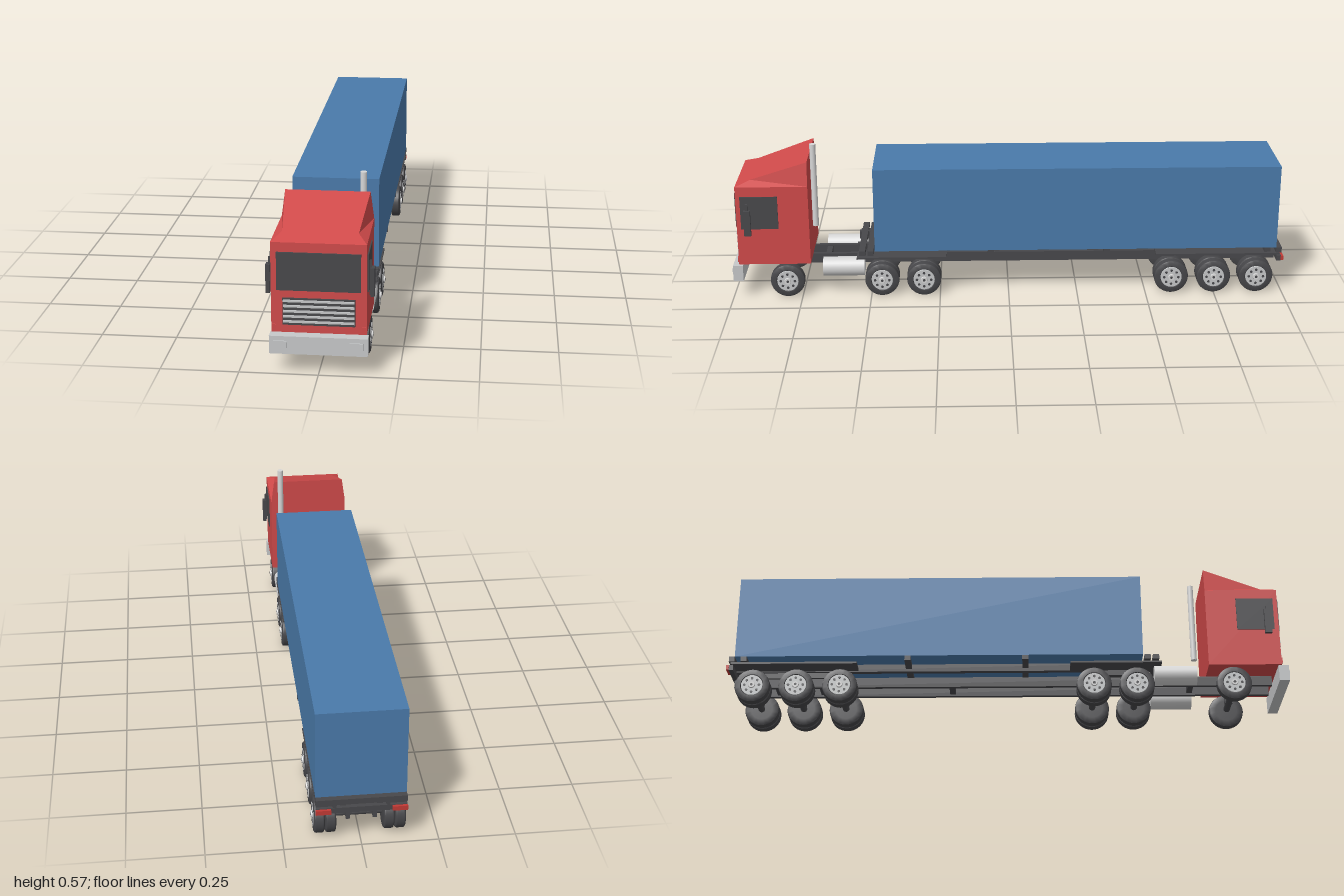
import * as THREE from 'three';
import { toCreasedNormals } from 'three/addons/utils/BufferGeometryUtils.js';

const mat = (name, color) => {
  const m = new THREE.MeshStandardMaterial({ color });
  m.name = name;
  return m;
};

export function createModel() {
  const red = mat('cab red', 0xd04a4a);
  const blue = mat('container blue', 0x4a7aaa);
  const dark = mat('chassis dark grey', 0x48484b);
  const tyreMat = mat('tyre grey', 0x47474a);
  const light = mat('light grey', 0xc6c8c9);
  const silver = mat('silver', 0xd6d6d6);
  const lamp = mat('tail lamp red', 0xc23a35);

  const truck = new THREE.Group();
  truck.name = 'containerTruck';
  const group = (name, parent = truck) => {
    const g = new THREE.Group();
    g.name = name;
    parent.add(g);
    return g;
  };
  const add = (parent, name, geo, m, x = 0, y = 0, z = 0) => {
    const mesh = new THREE.Mesh(geo, m);
    mesh.name = name;
    mesh.position.set(x, y, z);
    parent.add(mesh);
    return mesh;
  };
  // Box given by its limits on each axis
  const box = (parent, name, m, [x0, x1], [y0, y1], [z0, z1]) =>
    add(parent, name, new THREE.BoxGeometry(x1 - x0, y1 - y0, z1 - z0), m,
      (x0 + x1) / 2, (y0 + y1) / 2, (z0 + z1) / 2);
  // The same box on both sides of the truck
  const pair = (parent, name, m, [x0, x1], ys, zs) => {
    box(parent, name + 'Left', m, [x0, x1], ys, zs);
    box(parent, name + 'Right', m, [-x1, -x0], ys, zs);
  };

  // Cab body
  const cab = group('cab');
  box(cab, 'cabBody', red, [-0.149, 0.149], [0.13, 0.425], [0.715, 0.973]);

  // Roof deflector: a wedge with steep, slightly pinched sides
  const corner = {
    A: [0.149, 0.425, 0.973], B: [0.119, 0.443, 0.92],
    C: [0.137, 0.513, 0.715], D: [0.149, 0.425, 0.715],
  };
  const at = (k) => {
    const [x, y, z] = corner[k.toUpperCase()];
    return [k === k.toUpperCase() ? x : -x, y, z]; // lower case = right side
  };
  const faces = ['aAB', 'aBb', 'bBC', 'bCc', 'ADB', 'BDC', 'abd', 'bcd', 'Ddc', 'DcC'];
  const roofGeo = new THREE.BufferGeometry();
  roofGeo.setAttribute('position',
    new THREE.Float32BufferAttribute(faces.flatMap((f) => [...f].flatMap(at)), 3));
  roofGeo.computeVertexNormals();
  add(cab, 'roofDeflector', roofGeo, red);

  // Glass and grille
  box(cab, 'windscreen', dark, [-0.131, 0.131], [0.27, 0.394], [0.971, 0.978]);
  pair(cab, 'sideWindow', dark, [0.146, 0.153], [0.267, 0.389], [0.824, 0.957]);
  box(cab, 'grille', dark, [-0.113, 0.113], [0.156, 0.245], [0.971, 0.977]);
  for (let i = 0; i < 5; i++) {
    const y = 0.168 + i * 0.017;
    box(cab, 'grilleBar', light, [-0.111, 0.111], [y - 0.0035, y + 0.0035], [0.975, 0.981]);
  }
  pair(cab, 'indicator', red, [0.134, 0.147], [0.138, 0.156], [0.971, 0.977]);

  // Mirrors
  pair(cab, 'mirrorArm', dark, [0.154, 0.161], [0.25, 0.364], [0.93, 0.938]);
  pair(cab, 'mirror', dark, [0.157, 0.17], [0.246, 0.34], [0.921, 0.945]);
  pair(cab, 'mirrorBracket', dark, [0.148, 0.158], [0.335, 0.343], [0.93, 0.938]);

  // Bumper with headlamps
  box(cab, 'bumper', light, [-0.154, 0.154], [0.066, 0.125], [0.96, 0.996]);
  pair(cab, 'headlamp', light, [0.098, 0.14], [0.087, 0.11], [0.993, 1.0]);

  // Exhaust stack
  add(cab, 'exhaustStack', new THREE.CylinderGeometry(0.011, 0.011, 0.308, 20), silver, 0.113, 0.419, 0.694);

  // Fuel tanks
  for (const s of [1, -1]) {
    const tank = add(truck, s > 0 ? 'fuelTankLeft' : 'fuelTankRight',
      new THREE.CylinderGeometry(0.035, 0.035, 0.15, 28), silver, s * 0.111, 0.104, 0.598);
    tank.rotation.x = Math.PI / 2;
  }

  // Container
  box(truck, 'container', blue, [-0.146, 0.146], [0.174, 0.484], [-0.972, 0.484]);

  // Chassis: lower rails, upper rails and cross members
  const chassis = group('chassis');
  pair(chassis, 'lowerRail', dark, [0.036, 0.05], [0.093, 0.128], [-0.985, 0.95]);
  pair(chassis, 'upperRail', dark, [0.05, 0.068], [0.146, 0.174], [-0.985, 0.55]);
  for (const z of [0.53, 0.5, 0.065, -0.355, -0.94]) {
    box(chassis, 'crossMember', dark, [-0.146, 0.146], [0.157, 0.1745], [z - 0.011, z + 0.011]);
  }
  for (const z of [0.66, 0.3, -0.2, -0.67, -0.83]) {
    box(chassis, 'railTie', dark, [-0.037, 0.037], [0.1, 0.122], [z - 0.01, z + 0.01]);
  }
  box(chassis, 'couplingPlate', dark, [-0.07, 0.07], [0.126, 0.148], [0.3, 0.47]);
  box(chassis, 'rearMount', dark, [-0.06, 0.06], [0.126, 0.148], [-0.95, -0.56]);

  // Flat mudguards above the grouped wheels
  pair(chassis, 'frontMudguard', dark, [0.078, 0.146], [0.142, 0.149], [0.225, 0.55]);
  pair(chassis, 'rearMudguard', dark, [0.078, 0.146], [0.145, 0.152], [-0.985, -0.535]);

  // Rear beams and tail lamps
  box(chassis, 'rearBeam', dark, [-0.146, 0.146], [0.154, 0.174], [-0.992, -0.972]);
  box(chassis, 'lampBeam', dark, [-0.146, 0.146], [0.122, 0.142], [-0.991, -0.975]);
  pair(chassis, 'tailLamp', lamp, [0.098, 0.147], [0.124, 0.14], [-1.0, -0.99]);
  pair(chassis, 'rearPost', dark, [0.08, 0.092], [0.14, 0.158], [-0.99, -0.976]);

  // Wheels
  const R = 0.062, W = 0.035;
  const profile = [[0, -0.5], [0.62, -0.5], [0.9, -0.48], [0.98, -0.4], [1, -0.28],
    [1, 0.28], [0.98, 0.4], [0.9, 0.48], [0.66, 0.5], [0.62, 0.38], [0, 0.38]]
    .map(([r, h]) => new THREE.Vector2(r * R, h * W));
  const tyreGeo = toCreasedNormals(new THREE.LatheGeometry(profile, 36), 0.6);
  const rimGeo = new THREE.CylinderGeometry(0.038, 0.039, 0.006, 32);
  const hubGeo = new THREE.CylinderGeometry(0.011, 0.014, 0.012, 20);
  const holeGeo = new THREE.CylinderGeometry(0.0048, 0.0048, 0.002, 12);

  const wheel = (s, x, z, outer) => {
    const w = group(outer ? 'outerWheel' : 'innerWheel');
    w.position.set(s * x, R, z);
    w.rotation.z = -s * Math.PI / 2;
    add(w, 'tyre', tyreGeo, tyreMat);
    if (!outer) return;
    add(w, 'rim', rimGeo, light, 0, 0.0155, 0);
    add(w, 'hub', hubGeo, silver, 0, 0.0175, 0);
    add(w, 'hubCap', holeGeo, dark, 0, 0.0235, 0);
    for (let i = 0; i < 8; i++) {
      const a = (i * Math.PI) / 4;
      add(w, 'rimHole', holeGeo, dark, 0.026 * Math.cos(a), 0.0185, 0.026 * Math.sin(a));
    }
  };
  const axleGeo = new THREE.CylinderGeometry(0.012, 0.012, 0.2, 16);
  [0.802, 0.46, 0.308, -0.593, -0.748, -0.903].forEach((z, i) => {
    for (const s of [1, -1]) {
      wheel(s, 0.131, z, true);
      if (i > 0) wheel(s, 0.094, z, false); // twin tyres behind the steering axle
      box(chassis, 'axleHanger', dark, [s * 0.043 - 0.008, s * 0.043 + 0.008], [0.06, 0.1], [z - 0.014, z + 0.014]);
    }
    add(chassis, 'axle', axleGeo, dark, 0, R, z).rotation.z = Math.PI / 2;
  });

  return truck;
}
